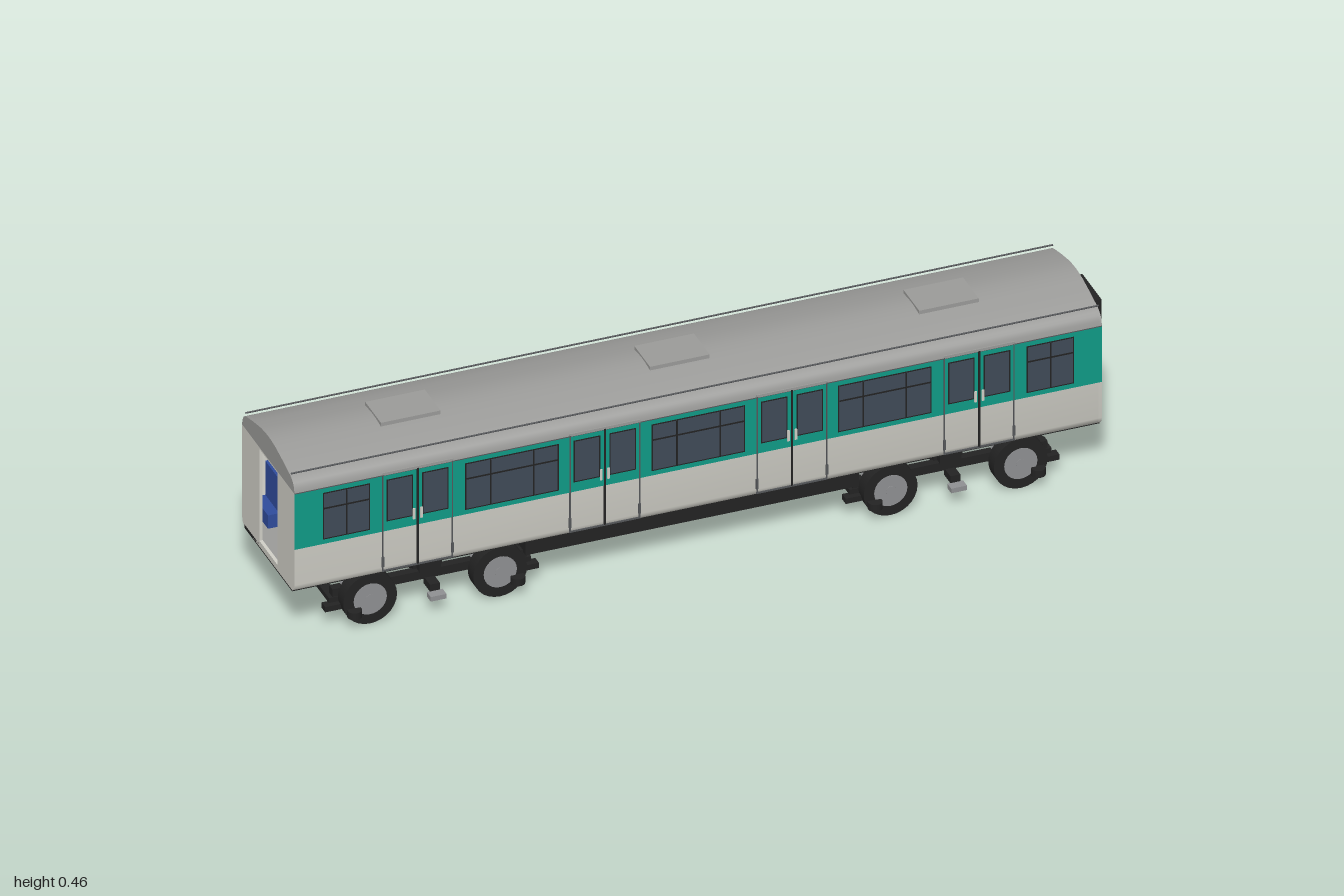
import * as THREE from 'three';
import { toCreasedNormals } from 'three/addons/utils/BufferGeometryUtils.js';

const mat = (name, color) => {
  const m = new THREE.MeshStandardMaterial({ color });
  m.name = name;
  return m;
};

export function createModel() {
  const cream = mat('cream paint', 0xd0cfc7), grey = mat('roof grey', 0x9b9b99);
  const teal = mat('teal paint', 0x109a86), glass = mat('dark glass', 0x3f4a57);
  const black = mat('black rubber', 0x232323), seam = mat('seam grey', 0x55575a);
  const steel = mat('steel', 0x8f9092), blue = mat('seat blue', 0x2f4c9c);

  const car = new THREE.Group();
  car.name = 'metroCar';
  const X0 = -1, X1 = 0.95, MID = -0.025, LEN = X1 - X0;

  const add = (parent, name, geo, material, x = 0, y = 0, z = 0) => {
    const m = new THREE.Mesh(geo, material);
    m.name = name;
    m.position.set(x, y, z);
    parent.add(m);
    return m;
  };
  // box given by its extents
  const box = (parent, name, material, x0, x1, y0, y1, z0, z1) =>
    add(parent, name, new THREE.BoxGeometry(x1 - x0, y1 - y0, z1 - z0), material,
      (x0 + x1) / 2, (y0 + y1) / 2, (z0 + z1) / 2);
  const wheelGeo = (r, width, sides = 28) =>
    new THREE.CylinderGeometry(r, r, width, sides).rotateX(Math.PI / 2);
  // cross-section in z and y, swept along x
  const sweep = (shape, x0, x1) => toCreasedNormals(
    new THREE.ExtrudeGeometry(shape, { depth: x1 - x0, bevelEnabled: false, curveSegments: 8 })
      .rotateY(Math.PI / 2).translate(x0, 0, 0), 0.6);
  const mirrored = (half) => [...half, ...half.slice().reverse().filter(p => p[0] > 0).map(([z, y]) => [-z, y])];
  const toShape = (pts) => new THREE.Shape(pts.map(p => new THREE.Vector2(...p)));

  // body shell: walls, roof and ends
  const EAVE = 0.392;
  const wallHalf = [[0.16, EAVE], [0.16, 0.15], [0.157, 0.139], [0.147, 0.13]];
  const roofHalf = [[0.16, EAVE], [0.158, 0.405], [0.152, 0.416], [0.145, 0.422], [0.135, 0.427],
    [0.09, 0.439], [0.045, 0.449], [0.02, 0.452], [0, 0.453]];
  const inner = (pts, d) => pts.map(([z, y]) => [z * 0.955, y - d]);
  for (const s of [-1, 1]) {
    const pts = [...wallHalf, [0.14, 0.13], [0.152, 0.15], [0.152, EAVE]].map(([z, y]) => [z * s, y]);
    add(car, 'sideWall', sweep(toShape(pts), X0, X1), cream);
  }
  const roofOuter = mirrored(roofHalf);
  const roofInner = inner(roofOuter, 0.007);
  roofInner[0][1] = roofInner[roofInner.length - 1][1] = EAVE;
  add(car, 'roof', sweep(toShape([...roofOuter, ...roofInner.reverse()]), X0, X1), grey);
  const endShape = toShape(mirrored(wallHalf));
  const doorway = new THREE.Path();
  doorway.moveTo(-0.055, 0.145).lineTo(0.055, 0.145).lineTo(0.055, 0.388).lineTo(-0.055, 0.388).closePath();
  endShape.holes.push(doorway);
  for (const [a, b] of [[X0, X0 + 0.008], [X1 - 0.008, X1]]) {
    add(car, 'endWall', sweep(endShape, a, b), cream);
    add(car, 'roofEnd', sweep(toShape(roofOuter), a, b), grey);
  }

  // floor, seats and ceiling seen through the open end
  box(car, 'floor', grey, X0 + 0.005, X1 - 0.005, 0.136, 0.144, -0.145, 0.145);
  box(car, 'floorUnderside', black, X0, X1, 0.127, 0.136, -0.146, 0.146);
  for (const s of [-1, 1]) for (const x of [-0.94, -0.82, -0.56, -0.38, -0.11, 0.06, 0.34, 0.51, 0.8]) {
    const z0 = s > 0 ? 0.065 : -0.15, z1 = s > 0 ? 0.15 : -0.065;
    box(car, 'seatCushion', blue, x - 0.035, x + 0.035, 0.165, 0.2, z0, z1);
    box(car, 'seatBack', blue, x - 0.008, x + 0.008, 0.19, 0.29, z0, z1);
  }

  // roof hatches and rain rails
  for (const x of [-0.675, MID, 0.625]) box(car, 'roofHatch', grey, x - 0.072, x + 0.072, 0.446, 0.458, -0.048, 0.048);
  for (const s of [-1, 1]) {
    add(car, 'rainRail', new THREE.CylinderGeometry(0.002, 0.002, LEN, 6).rotateZ(Math.PI / 2), seam, MID, 0.434, 0.139 * s);
    box(car, 'eaveSeam', seam, X0, X1, 0.391, 0.393, 0.16 * s - 0.0008, 0.16 * s + 0.0008);
  }

  // painted side: band, windows and doors, used on both sides
  const makeSide = (s) => {
    const side = new THREE.Group();
    side.name = s > 0 ? 'frontSide' : 'backSide';
    const plate = (name, m, x0, x1, y0, y1, out) =>
      box(side, name, m, x0, x1, y0, y1, s * 0.1602 - 0.0005 + Math.min(0, s * out), s * 0.1602 + 0.0005 + Math.max(0, s * out));
    plate('tealBand', teal, X0, X1, 0.245, 0.391, 0.0003);
    const pane = (x, w, y0, y1) => {
      plate('windowFrame', black, x - w / 2 - 0.003, x + w / 2 + 0.003, y0 - 0.003, y1 + 0.003, 0.0009);
      plate('windowGlass', glass, x - w / 2, x + w / 2, y0, y1, 0.0014);
    };
    const bars = (x, w, posts) => {
      plate('windowTransom', black, x - w / 2, x + w / 2, 0.337, 0.341, 0.002);
      for (const p of posts) plate('windowPost', black, x + p - 0.0018, x + p + 0.0018, 0.26, 0.377, 0.002);
    };
    for (const dx of [-0.45, 0, 0.45]) {
      pane(MID + dx, 0.22, 0.26, 0.377);
      bars(MID + dx, 0.22, [-0.052, 0.052]);
    }
    for (const dx of [-0.85, 0.85]) {
      pane(MID + dx, 0.108, 0.26, 0.377);
      bars(MID + dx, 0.108, [0]);
    }
    for (const dx of [-0.678, -0.226, 0.226, 0.678]) {
      const x = MID + dx;
      for (const k of [-1, 1]) {
        pane(x + k * 0.043, 0.058, 0.273, 0.377);
        plate('doorEdge', seam, x + k * 0.084 - 0.0015, x + k * 0.084 + 0.0015, 0.142, 0.395, 0.0015);
        plate('doorHandle', cream, x + k * 0.009 - 0.003, x + k * 0.009 + 0.003, 0.262, 0.29, 0.003);
        plate('doorGuide', seam, x + k * 0.084 - 0.003, x + k * 0.084 + 0.003, 0.152, 0.178, 0.0025);
      }
      plate('doorSeam', black, x - 0.0022, x + 0.0022, 0.142, 0.395, 0.002);
      plate('doorHeader', grey, x - 0.086, x + 0.086, 0.393, 0.4, 0.0015);
      plate('doorSill', seam, x - 0.086, x + 0.086, 0.139, 0.143, 0.0015);
    }
    car.add(side);
  };
  makeSide(1);
  makeSide(-1);

  // gangway and coupler
  box(car, 'gangway', black, X1, 0.989, 0.145, 0.395, -0.058, 0.058);
  box(car, 'coupler', black, 0.94, 1.0, 0.103, 0.117, -0.012, 0.012);

  // underfloor equipment
  box(car, 'underframe', black, -0.43, 0.375, 0.083, 0.128, -0.13, 0.13);

  // bogies
  const makeBogie = (cx) => {
    const b = new THREE.Group();
    b.name = 'bogie';
    b.position.x = cx;
    const AY = 0.065;
    for (const x of [-0.157, 0.157]) {
      add(b, 'axle', wheelGeo(0.01, 0.22, 16), steel, x, AY, 0);
      for (const s of [-1, 1]) {
        add(b, 'tyre', wheelGeo(0.065, 0.034), black, x, AY, s * 0.13);
        add(b, 'hub', wheelGeo(0.04, 0.036), steel, x, AY, s * 0.13);
        add(b, 'hubCap', wheelGeo(0.012, 0.038, 16), steel, x, AY, s * 0.13);
        add(b, 'steelWheel', wheelGeo(0.057, 0.014), steel, x, AY, s * 0.1);
        box(b, 'axleBox', black, x - 0.02, x + 0.02, 0.052, 0.085, s * 0.104 - 0.012, s * 0.104 + 0.012);
        add(b, 'guideRoller', new THREE.CylinderGeometry(0.017, 0.017, 0.018, 16), black,
          Math.sign(x) * 0.197, 0.04, s * 0.153);
        // arm carrying the end of the guide beam
        const e = Math.sign(x);
        box(b, 'guideArm', black, e > 0 ? 0.18 : -0.258, e > 0 ? 0.258 : -0.18, 0.041, 0.055, s * 0.117 - 0.011, s * 0.117 + 0.011);
      }
      box(b, 'endBeam', black, x - 0.012 + Math.sign(x) * 0.075, x + 0.012 + Math.sign(x) * 0.075, 0.055, 0.068, -0.115, 0.115);
    }
    for (const s of [-1, 1]) {
      box(b, 'sideFrame', black, -0.235, 0.235, 0.066, 0.088, s * 0.103 - 0.01, s * 0.103 + 0.01);
      box(b, 'suspension', black, -0.026, 0.026, 0.085, 0.128, s * 0.103 - 0.014, s * 0.103 + 0.014);
      box(b, 'collectorArm', black, -0.012, 0.012, 0.05, 0.068, s * 0.125 - 0.02, s * 0.125 + 0.02);
      box(b, 'collectorShoe', steel, -0.019, 0.019, 0.038, 0.05, s * 0.156 - 0.012, s * 0.156 + 0.012);
    }
    box(b, 'bolster', black, -0.035, 0.035, 0.078, 0.125, -0.1, 0.1);
    car.add(b);
  };
  makeBogie(-0.655);
  makeBogie(0.602);

  return car;
}
